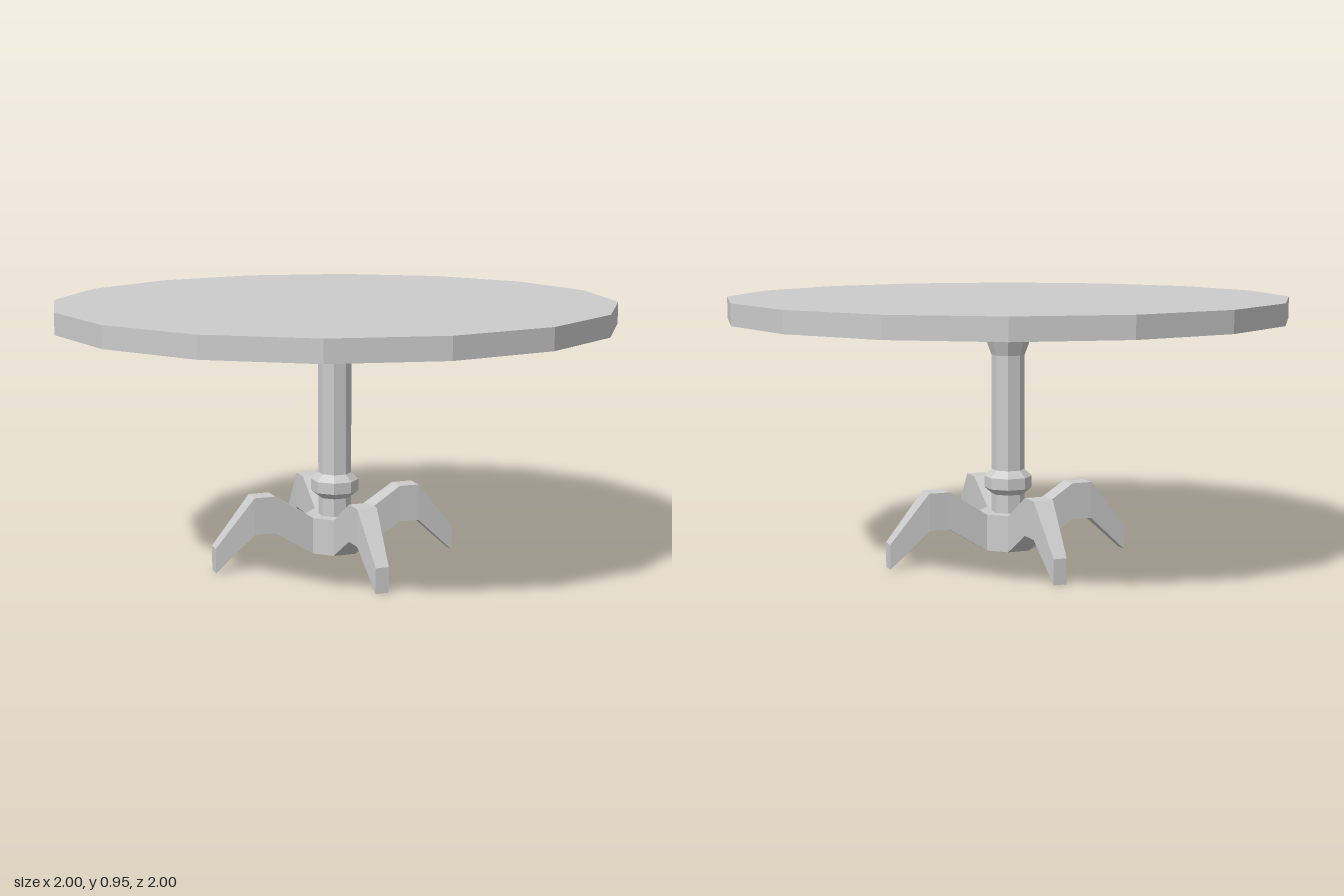
import * as THREE from 'three';

const material = new THREE.MeshStandardMaterial({ color: 0xcccccc, flatShading: true });

function addMesh(parent, name, geometry) {
  const mesh = new THREE.Mesh(geometry, material);
  mesh.name = name;
  parent.add(mesh);
  return mesh;
}

// Eight-sided turned part with flats facing the axes; profile = [distance to flat, height]
function octagonal(profile) {
  const points = profile.map(([r, y]) => new THREE.Vector2(r / Math.cos(Math.PI / 8), y));
  const geometry = new THREE.LatheGeometry(points, 8, Math.PI / 8).toNonIndexed();
  geometry.computeVertexNormals();
  return geometry;
}

// Tapered rectangular loft along +x; section = [x, bottom, top, half width]
function legGeometry(sections) {
  const positions = [], index = [];
  for (const [x, low, high, w] of sections) {
    positions.push(x, low, -w, x, low, w, x, high, w, x, high, -w);
  }
  for (let s = 0; s < sections.length - 1; s++) {
    for (let i = 0; i < 4; i++) {
      const a = s * 4 + i, b = s * 4 + (i + 1) % 4;
      index.push(a, a + 4, b, b, a + 4, b + 4);
    }
  }
  // foot end
  const e = (sections.length - 1) * 4;
  index.push(e, e + 3, e + 2, e, e + 2, e + 1);
  const geometry = new THREE.BufferGeometry();
  geometry.setAttribute('position', new THREE.Float32BufferAttribute(positions, 3));
  geometry.setIndex(index);
  const flat = geometry.toNonIndexed();
  flat.computeVertexNormals();
  return flat;
}

export function createModel() {
  const table = new THREE.Group();
  table.name = 'pedestalTable';

  // Sixteen-sided top
  addMesh(table, 'tableTop', new THREE.CylinderGeometry(1, 1, 0.076, 16)).position.y = 0.911;

  // Column with collar and flared head
  addMesh(table, 'column', octagonal([
    [0.055, 0.17], [0.055, 0.24], [0.079, 0.262], [0.079, 0.303],
    [0.055, 0.328], [0.055, 0.742], [0.099, 0.873],
  ]));

  // Hub that carries the legs
  addMesh(table, 'hub', octagonal([[0, 0.043], [0.099, 0.043], [0.099, 0.174], [0, 0.174]]));

  // Four arched legs
  const leg = legGeometry([
    [0.099, 0.043, 0.174, 0.041],
    [0.24, 0.13, 0.264, 0.037],
    [0.316, 0.13, 0.264, 0.036],
    [0.458, 0, 0.09, 0.024],
  ]);
  ['leftLeg', 'backLeg', 'rightLeg', 'frontLeg'].forEach((name, i) => {
    addMesh(table, name, leg).rotation.y = i * Math.PI / 2;
  });

  return table;
}
